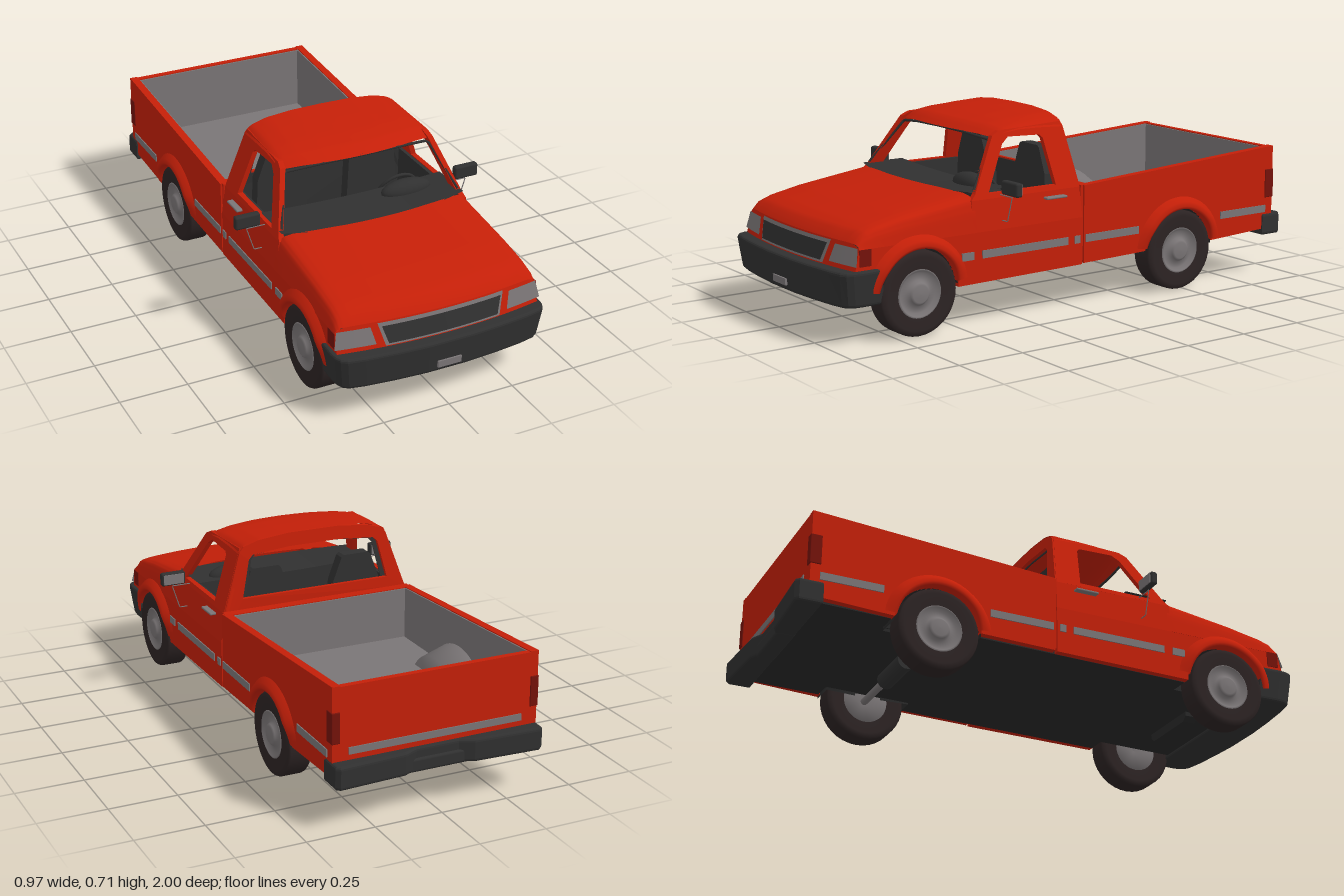
import * as THREE from 'three';
import { RoundedBoxGeometry } from 'three/addons/geometries/RoundedBoxGeometry.js';

const mat = (name, color) => {
  const m = new THREE.MeshStandardMaterial({ color, side: THREE.DoubleSide });
  m.name = name;
  return m;
};

export function createModel() {
  const red = mat('red paint', 0xc41f08);
  const dark = mat('dark plastic', 0x303030);
  const black = mat('underbody black', 0x282828);
  const rubber = mat('tyre rubber', 0x2c2323);
  const grey = mat('grey metal', 0x7a7576);
  const lamp = mat('lamp red', 0x74120a);

  const truck = new THREE.Group();
  truck.name = 'pickupTruck';
  const side = new THREE.Group();
  side.name = 'leftSide';
  const FRONT = 0.67, REAR = -0.48, AXLE_Y = 0.15, ARCH = 0.162;

  // ---- helpers ----
  const add = (parent, name, geo, material) => {
    const m = new THREE.Mesh(geo, material);
    m.name = name;
    parent.add(m);
    return m;
  };
  // box given by its min and max on each axis
  const box = (parent, name, material, x0, x1, y0, y1, z0, z1, r = 0) => {
    const s = [x1 - x0, y1 - y0, z1 - z0];
    const g = r ? new RoundedBoxGeometry(...s, 2, r) : new THREE.BoxGeometry(...s);
    g.translate((x0 + x1) / 2, (y0 + y1) / 2, (z0 + z1) / 2);
    return add(parent, name, g, material);
  };
  // smooth grid surface from a rule
  const sheet = (nu, nv, f) => {
    const pos = [], idx = [];
    for (let j = 0; j <= nv; j++) for (let i = 0; i <= nu; i++) pos.push(...f(i / nu, j / nv));
    for (let j = 0; j < nv; j++) for (let i = 0; i < nu; i++) {
      const a = j * (nu + 1) + i, b = a + nu + 1;
      idx.push(a, b, a + 1, a + 1, b, b + 1);
    }
    const g = new THREE.BufferGeometry();
    g.setAttribute('position', new THREE.Float32BufferAttribute(pos, 3));
    g.setIndex(idx);
    g.computeVertexNormals();
    return g;
  };
  const poly = (pts) => new THREE.Shape(pts.map((p) => new THREE.Vector2(...p)));
  const move = (g, f) => {
    const p = g.attributes.position, v = new THREE.Vector3();
    for (let i = 0; i < p.count; i++) {
      f(v.fromBufferAttribute(p, i));
      p.setXYZ(i, v.x, v.y, v.z);
    }
    g.computeVertexNormals();
    return g;
  };
  const extrude = (shape, depth, extra) =>
    new THREE.ExtrudeGeometry(shape, { depth, bevelEnabled: false, ...extra });
  // panel drawn as (z, y), its outer face at x
  const panel = (shape, x, depth) => extrude(shape, depth).rotateY(-Math.PI / 2).translate(x, 0, 0);
  // plan drawn as (x, z), extruded upward from y
  const plan = (pts, y, h, extra) =>
    extrude(poly(pts.map(([x, z]) => [x, -z])), h, extra).rotateX(-Math.PI / 2).translate(0, y, 0);
  const both = (half) => [...half, ...half.slice().reverse().map(([x, z]) => [-x, z])];
  // points of a wheel opening, from its rear foot over the top to its front foot
  const opening = (z, t0) => Array.from({ length: 29 }, (_, i) => {
    const t = Math.PI - t0 - (i / 28) * (Math.PI - 2 * t0);
    return [z + ARCH * Math.cos(t), AXLE_Y + ARCH * Math.sin(t)];
  });
  // arc surface around a wheel, profile given as (radius, x); bulges beyond the body side fade at the feet
  const arc = (z, prof, t0 = 0.03) => sheet(28, prof.length - 1, (u, v) => {
    const [r, x] = prof[Math.round(v * (prof.length - 1))];
    const t = t0 + u * (Math.PI - 2 * t0);
    const fade = Math.min(1, Math.sin(t) * 1.7);
    return [x > 0.386 ? 0.386 + (x - 0.386) * fade : x, AXLE_Y + r * Math.sin(t), z + r * Math.cos(t)];
  });
  const interp = (pts, x) => {
    let i = 1;
    while (i < pts.length - 1 && x > pts[i][0]) i++;
    const [a, b] = [pts[i - 1], pts[i]];
    return a[1] + ((b[1] - a[1]) * (x - a[0])) / (b[0] - a[0]);
  };

  // ---- lower body sides with wheel arches ----
  const fender = poly([[-0.025, 0.157], ...opening(FRONT, 0), [0.85, 0.2], [0.918, 0.25], [0.9, 0.33], [-0.025, 0.33]]);
  add(side, 'lowerSide', panel(fender, 0.385, 0.03), red);
  const bed = poly([[-0.95, 0.18], ...opening(REAR, 0.1), [-0.033, 0.16], [-0.033, 0.445], [-0.95, 0.5]]);
  add(side, 'bedSide', panel(bed, 0.385, 0.03), red);
  const liner = poly([[-0.925, 0.25], ...opening(REAR, 0.665), [-0.065, 0.25], [-0.065, 0.444], [-0.925, 0.495]]);
  add(side, 'bedSideLiner', panel(liner, 0.355, 0.005), grey);

  // ---- door and window frame, leaning inward ----
  const door = panel(poly([[-0.025, 0.33], [0.445, 0.33], [0.445, 0.44], [-0.02, 0.44]]), 0.385, 0.02);
  add(side, 'door', move(door, (v) => { v.x -= (v.y - 0.33) * 0.12; }), red);
  const frame = poly([[-0.02, 0.44], [0.445, 0.44], [0.425, 0.46], [0.31, 0.645], [0.28, 0.66], [0.01, 0.67]]);
  frame.holes.push(poly([[0.08, 0.457], [0.37, 0.457], [0.275, 0.615], [0.245, 0.637], [0.11, 0.632], [0.098, 0.62]]));
  add(side, 'windowFrame', move(panel(frame, 0.372, 0.02), (v) => { v.x -= (v.y - 0.44) * 0.34; }), red);
  box(side, 'doorTrim', dark, 0.335, 0.352, 0.18, 0.452, 0, 0.42);
  box(side, 'doorHandle', grey, 0.37, 0.397, 0.412, 0.421, 0.05, 0.14, 0.004);

  // ---- fender flares, arch liners, wheels ----
  for (const z of [FRONT, REAR]) {
    add(side, 'fenderFlare', arc(z, [[0.158, 0.37], [0.158, 0.405], [0.168, 0.411], [0.185, 0.405], [0.203, 0.384]], 0.15), red);
    add(side, 'archLiner', arc(z, [[0.162, 0.38], [0.162, 0.28], [0.05, 0.28]]), black);
    const wheel = new THREE.Group();
    wheel.name = 'wheel';
    const lathe = (pts) => new THREE.LatheGeometry(pts.map((p) => new THREE.Vector2(...p)), 36).rotateZ(-Math.PI / 2);
    add(wheel, 'tyre', lathe([[0.085, -0.043], [0.13, -0.0475], [0.146, -0.043], [0.15, -0.035],
      [0.15, 0.035], [0.146, 0.043], [0.13, 0.0475], [0.085, 0.043]]), rubber);
    add(wheel, 'rim', lathe([[0, -0.03], [0.088, -0.04], [0.088, 0.042], [0.08, 0.046], [0.07, 0.03],
      [0.046, 0.034], [0.038, 0.046], [0.03, 0.051], [0, 0.052]]), grey);
    wheel.position.set(0.3475, AXLE_Y, z);
    side.add(wheel);
  }
  add(side, 'bedWheelHousing', arc(REAR, [[0.205, 0.352], [0.175, 0.25], [0.08, 0.25]], 0.48), grey);

  // ---- side trim strips and lamps ----
  for (const [z0, z1, y] of [[0.445, 0.495, 0.237], [0.04, 0.41, 0.237], [-0.015, 0.01, 0.237], [-0.285, -0.04, 0.237], [-0.915, -0.685, 0.243]])
    box(side, 'sideTrim', grey, 0.383, 0.389, y, y + 0.028, z0, z1);
  box(side, 'cornerLamp', lamp, 0.38, 0.388, 0.272, 0.33, 0.855, 0.9);
  box(side, 'tailLamp', lamp, 0.357, 0.388, 0.3, 0.41, -0.954, -0.912, 0.003);

  // ---- door mirror on a wire bracket ----
  box(side, 'mirror', dark, 0.39, 0.485, 0.455, 0.505, 0.308, 0.335, 0.008);
  box(side, 'mirrorGlass', grey, 0.398, 0.478, 0.461, 0.499, 0.305, 0.309);
  const wire = new THREE.CurvePath();
  const wp = [[0.375, 0.36], [0.412, 0.36], [0.44, 0.449], [0.365, 0.449]].map(([x, y]) => new THREE.Vector3(x, y, 0.322));
  for (let i = 0; i < 3; i++) wire.add(new THREE.LineCurve3(wp[i], wp[i + 1]));
  add(side, 'mirrorBracket', new THREE.TubeGeometry(wire, 36, 0.002, 6), grey);

  // ---- seats ----
  add(side, 'seatBack', extrude(poly([[0.08, 0.28], [0.29, 0.28], [0.28, 0.48], [0.245, 0.572], [0.235, 0.58],
    [0.135, 0.58], [0.125, 0.572], [0.09, 0.48]]), 0.045).translate(0, 0, 0.022), dark);
  box(side, 'seatCushion', dark, 0.07, 0.3, 0.2, 0.3, 0.03, 0.25, 0.02);

  const right = side.clone();
  right.name = 'rightSide';
  right.scale.x = -1;
  truck.add(side, right);

  // ---- hood ----
  const section = [[0, 1], [0.2, 0.995], [0.32, 0.96], [0.352, 0.9], [0.368, 0.78], [0.378, 0.5], [0.386, 0]];
  const hoodTop = [[0, 0.468], [0.35, 0.443], [0.6, 0.425], [0.85, 0.399], [0.95, 0.38], [1, 0.349]];
  const hoodRear = (x) => 0.43 + 0.055 * (1 - (x / 0.386) ** 2);
  const nose = (x, y) => 0.955 - 0.25 * x * x - (y - 0.26) * 0.25;
  add(truck, 'hood', sheet(36, 20, (u, v) => {
    const s = u * 12 - 6, i = Math.min(5, Math.floor(Math.abs(s))), f = Math.abs(s) - i;
    const [a, b] = [section[i], section[i + 1]];
    const x = Math.sign(s) * (a[0] + (b[0] - a[0]) * f), k = a[1] + (b[1] - a[1]) * f;
    const r = hoodRear(x);
    return [x, 0.33 + k * (interp(hoodTop, v) - 0.33), r + v * (nose(x, 0.35) + 0.003 - r)];
  }), red);

  // ---- nose with grille and headlamps; plates taper from the bottom edge to the top edge ----
  const facePlate = (name, material, [b0, b1], [t0, t1], y0, y1, off) =>
    add(truck, name, sheet(16, 2, (u, v) => {
      const lo = b0 + u * (b1 - b0), hi = t0 + u * (t1 - t0);
      const x = lo + v * (hi - lo), y = y0 + v * (y1 - y0);
      return [x, y, nose(x, y) + off];
    }), material);
  add(truck, 'nosePanel', sheet(48, 4, (u, v) => {
    const x = (u * 2 - 1) * 0.385, y = 0.24 + v * (0.111 - 0.018 * (x / 0.385) ** 14);
    return [x, y, nose(x, y)];
  }), red);
  facePlate('grilleFrame', grey, [-0.218, 0.218], [-0.24, 0.24], 0.264, 0.344, 0.004);
  facePlate('grille', dark, [-0.208, 0.208], [-0.227, 0.227], 0.272, 0.333, 0.008);
  facePlate('leftHeadlamp', grey, [0.25, 0.394], [0.265, 0.382], 0.275, 0.335, 0.004);
  facePlate('rightHeadlamp', grey, [-0.25, -0.394], [-0.265, -0.382], 0.275, 0.335, 0.004);

  // ---- bumpers ----
  const bevel = { bevelEnabled: true, bevelThickness: 0.012, bevelSize: 0.01, bevelOffset: -0.01, bevelSegments: 3 };
  const fb = plan(both([[0.36, 0.82], [0.4, 0.82], [0.403, 0.9], [0.4, 0.93], [0.39, 0.952], [0.37, 0.966],
    [0.31, 0.978], [0.2, 0.99], [0.08, 0.998]]), 0.145, 0.102, bevel);
  add(truck, 'frontBumper', move(fb, (v) => {
    const d = (0.26 - v.y) / 0.125;
    v.x *= 1 - 0.04 * d;
    v.z -= 0.015 * d * d;
  }), dark);
  box(truck, 'frontPlate', grey, -0.045, 0.045, 0.156, 0.18, 0.985, 0.996);
  const rb = plan(both([[0.39, -0.9], [0.39, -0.985], [0.375, -0.998], [0.13, -0.985], [0.08, -0.962]]).reverse(), 0.164, 0.06, bevel);
  add(truck, 'rearBumper', rb, dark);
  box(truck, 'bumperStep', dark, -0.12, 0.12, 0.15, 0.2, -0.97, -0.9, 0.01);

  // ---- roof ----
  const roofLine = [[0, 0.708], [0.35, 0.7], [0.65, 0.69], [0.88, 0.675], [1, 0.648]];
  const crown = [[0, 0], [0.12, 0.002], [0.22, 0.011], [0.28, 0.029], [0.295, 0.042], [0.304, 0.06]];
  add(truck, 'roof', sheet(40, 16, (u, v) => {
    const x = (u * 2 - 1) * 0.302, end = 0.295 + 0.05 * (1 - (x / 0.302) ** 2);
    return [x, interp(roofLine, v) - interp(crown, Math.abs(x)) * (1 - 0.65 * v), 0.008 + v * (end - 0.008)];
  }), red);

  // ---- cab rear wall with open window, and its inner trim ----
  const wall = poly(both([[0.38, 0.17], [0.383, 0.33], [0.37, 0.44], [0.298, 0.655], [0.28, 0.675], [0.22, 0.692], [0.1, 0.704]]));
  wall.holes.push(poly(both([[0.295, 0.485], [0.262, 0.625], [0.245, 0.642], [0.1, 0.654]])));
  const lean = (y) => -0.024 + Math.max(0, y - 0.45) * 0.125;
  add(truck, 'cabRearWall', move(extrude(wall, 0.015), (v) => { v.z += lean(v.y); }), red);
  add(truck, 'cabRearTrim', move(extrude(wall, 0.004), (v) => {
    v.x *= 0.94;
    v.y -= 0.005;
    v.z += lean(v.y) + 0.0155;
  }), dark);

  // ---- cab interior ----
  add(truck, 'dashTop', sheet(24, 2, (u, v) => {
    const x = (u * 2 - 1) * 0.36;
    return [x, 0.457 + 0.012 * (x / 0.36) ** 2, 0.27 + v * (hoodRear(x) - 0.265)];
  }), dark);
  box(truck, 'dashboard', dark, -0.35, 0.35, 0.33, 0.456, 0.29, 0.41);
  box(truck, 'firewall', dark, -0.35, 0.35, 0.17, 0.34, 0.4, 0.42);
  box(truck, 'cabFloor', dark, -0.355, 0.355, 0.17, 0.19, -0.02, 0.42);
  add(truck, 'instrumentHood', new THREE.SphereGeometry(1, 20, 12).scale(0.1, 0.04, 0.04).translate(0.19, 0.462, 0.325), dark);
  const steering = new THREE.Group();
  steering.name = 'steeringWheel';
  add(steering, 'steeringRim', new THREE.TorusGeometry(0.076, 0.006, 8, 28), dark);
  for (let i = 0; i < 3; i++)
    add(steering, 'spoke', new THREE.BoxGeometry(0.074, 0.012, 0.006).translate(0.037, 0, 0), dark).rotation.z = Math.PI / 6 + (i * Math.PI * 2) / 3 + Math.PI;
  add(steering, 'column', new THREE.CylinderGeometry(0.016, 0.02, 0.08, 12).rotateX(Math.PI / 2).translate(0, 0, 0.035), dark);
  steering.position.set(0.19, 0.43, 0.25);
  steering.rotation.x = 0.45;
  truck.add(steering);

  // dark seal around the windscreen opening
  const seal = new THREE.CurvePath();
  const sp = [[-0.35, 0.472, 0.42], [-0.284, 0.628, 0.305], [-0.15, 0.643, 0.33], [0, 0.647, 0.338],
    [0.15, 0.643, 0.33], [0.284, 0.628, 0.305], [0.35, 0.472, 0.42]].map((p) => new THREE.Vector3(...p));
  for (let i = 0; i < 6; i++) seal.add(new THREE.LineCurve3(sp[i], sp[i + 1]));
  add(truck, 'windscreenSeal', new THREE.TubeGeometry(seal, 60, 0.005, 6), dark);

  // ---- cargo bed ----
  box(truck, 'bedFrontWall', red, -0.378, 0.378, 0.17, 0.446, -0.06, -0.022);
  box(truck, 'tailgate', red, -0.37, 0.37, 0.19, 0.497, -0.95, -0.928);
  add(truck, 'bedFloor', plan(both([[0.355, -0.93], [0.355, -0.64], [0.27, -0.62], [0.27, -0.34], [0.355, -0.32], [0.355, -0.06]]), 0.24, 0.01), grey);
  box(truck, 'bedFrontLiner', grey, -0.352, 0.352, 0.25, 0.443, -0.066, -0.06);
  box(truck, 'tailgateLiner', grey, -0.352, 0.352, 0.25, 0.493, -0.928, -0.922);
  box(truck, 'tailgateTrim', grey, -0.325, 0.325, 0.256, 0.281, -0.954, -0.949);

  // ---- underbody with wheel cut-outs, rear axle ----
  const under = plan(both([[0.36, -0.94], [0.36, -0.645], [0.285, -0.645], [0.285, -0.315], [0.36, -0.315],
    [0.36, 0.505], [0.285, 0.505], [0.285, 0.835], [0.36, 0.835], [0.36, 0.9]]), 0.15, 0.015);
  add(truck, 'underbody', move(under, (v) => { v.y += (0.4 - v.z) * 0.015; }), black);
  add(truck, 'rearAxle', new THREE.CylinderGeometry(0.014, 0.014, 0.64, 12).rotateZ(Math.PI / 2).translate(0, AXLE_Y, REAR), grey);
  add(truck, 'rearDifferential', new THREE.CylinderGeometry(0.034, 0.034, 0.2, 14).rotateZ(Math.PI / 2).translate(0, AXLE_Y, REAR), dark);
  add(truck, 'frontCrossmember', extrude(poly([[-0.11, 0.112], [0.11, 0.112], [0.13, 0.13], [0.13, 0.155], [-0.13, 0.155], [-0.13, 0.13]]), 0.05).translate(0, 0, FRONT - 0.025), black);

  return truck;
}
